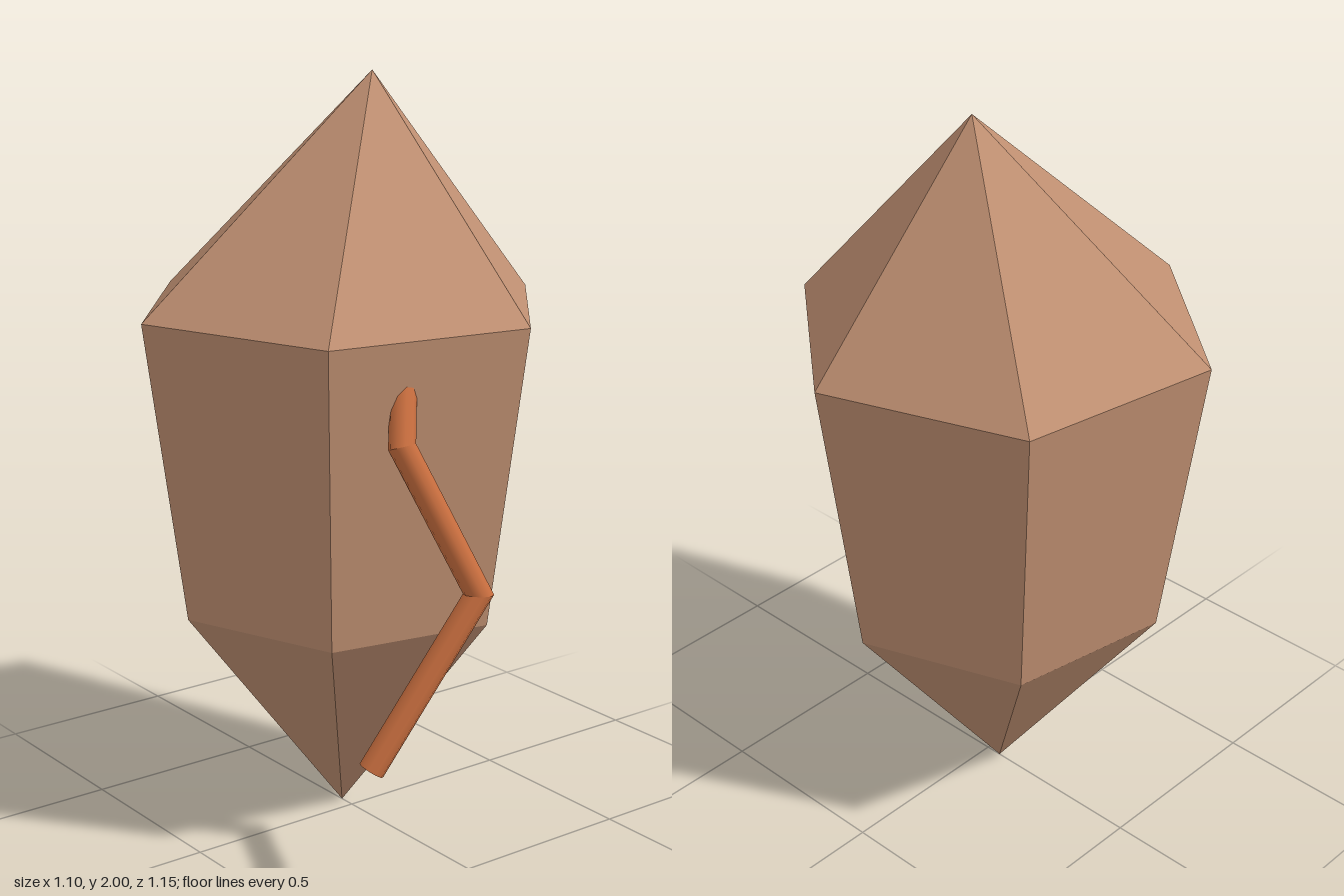
import * as THREE from 'three';

const V = (x, y, z) => new THREE.Vector3(x, y, z);

// Flat-faced six-sided crystal with a point at each end
function crystalGeometry() {
  const ring = (r, y) => Array.from({ length: 6 }, (_, k) => {
    const a = THREE.MathUtils.degToRad(10 + 60 * k);
    return V(r * Math.cos(a), y, r * Math.sin(a) - 0.045);
  });
  const tip = V(0.088, 2, -0.03), foot = V(0, 0, -0.045);
  const upper = ring(0.56, 1.4), lower = ring(0.45, 0.6);
  const points = [];
  for (let i = 0; i < 6; i++) {
    const j = (i + 1) % 6;
    points.push(tip, upper[j], upper[i]);
    points.push(upper[i], upper[j], lower[i], upper[j], lower[j], lower[i]);
    points.push(foot, lower[i], lower[j]);
  }
  const geometry = new THREE.BufferGeometry().setFromPoints(points);
  geometry.computeVertexNormals();
  return geometry;
}

// Round bar swept along straight runs with mitred bends
function mitredBar(path, radius, sides) {
  const dirs = path.slice(1).map((p, i) => p.clone().sub(path[i]).normalize());
  const u = V(0, 0, 1).cross(dirs[0]).normalize();
  const w = dirs[0].clone().cross(u);
  const rings = [[]];
  for (let k = 0; k < sides; k++) {
    const a = (k / sides) * Math.PI * 2;
    rings[0].push(path[0].clone()
      .addScaledVector(u, radius * Math.cos(a))
      .addScaledVector(w, radius * Math.sin(a)));
  }
  for (let i = 1; i < path.length; i++) {
    const d = dirs[i - 1];
    const n = d.clone().add(dirs[i] ?? d).normalize();
    rings.push(rings[i - 1].map((p) =>
      p.clone().addScaledVector(d, path[i].clone().sub(p).dot(n) / d.dot(n))));
  }
  // Each run has its own rings: smooth around, sharp at the bends
  const points = [], normals = [], index = [];
  const add = (p, n) => { points.push(p); normals.push(n.x, n.y, n.z); return points.length - 1; };
  dirs.forEach((d, i) => {
    const base = points.length;
    for (let k = 0; k < sides; k++) {
      for (const e of [i, i + 1]) {
        const out = rings[e][k].clone().sub(path[e]);
        add(rings[e][k], out.addScaledVector(d, -out.dot(d)).normalize());
      }
    }
    for (let k = 0; k < sides; k++) {
      const a = base + 2 * k, b = base + 2 * ((k + 1) % sides);
      index.push(a, b, a + 1, b, b + 1, a + 1);
    }
  });
  // End caps
  const last = path.length - 1;
  for (const [e, n] of [[0, dirs[0].clone().negate()], [last, dirs[last - 1]]]) {
    const c = add(path[e], n);
    rings[e].forEach((p) => add(p, n));
    for (let k = 0; k < sides; k++) {
      const a = c + 1 + k, b = c + 1 + ((k + 1) % sides);
      index.push(c, ...(e === 0 ? [b, a] : [a, b]));
    }
  }
  const geometry = new THREE.BufferGeometry().setFromPoints(points);
  geometry.setAttribute('normal', new THREE.Float32BufferAttribute(normals, 3));
  geometry.setIndex(index);
  return geometry;
}

export function createModel() {
  const stone = new THREE.MeshStandardMaterial({ color: 0xc09072 });
  stone.name = 'tan stone';
  stone.flatShading = true;
  const copper = new THREE.MeshStandardMaterial({ color: 0xcc7040 });
  copper.name = 'copper';

  const crystal = new THREE.Mesh(crystalGeometry(), stone);
  crystal.name = 'crystal';

  // Bent copper vein that sinks into the front face at its upper end
  const path = [V(-0.285, 0.335, 0.457), V(-0.015, 0.765, 0.54), V(-0.172, 1.145, 0.43), V(-0.118, 1.31, 0.365)];
  const vein = new THREE.Mesh(mitredBar(path, 0.034, 10), copper);
  vein.name = 'vein';

  const model = new THREE.Group();
  model.name = 'veinedCrystal';
  model.add(crystal, vein);
  return model;
}
